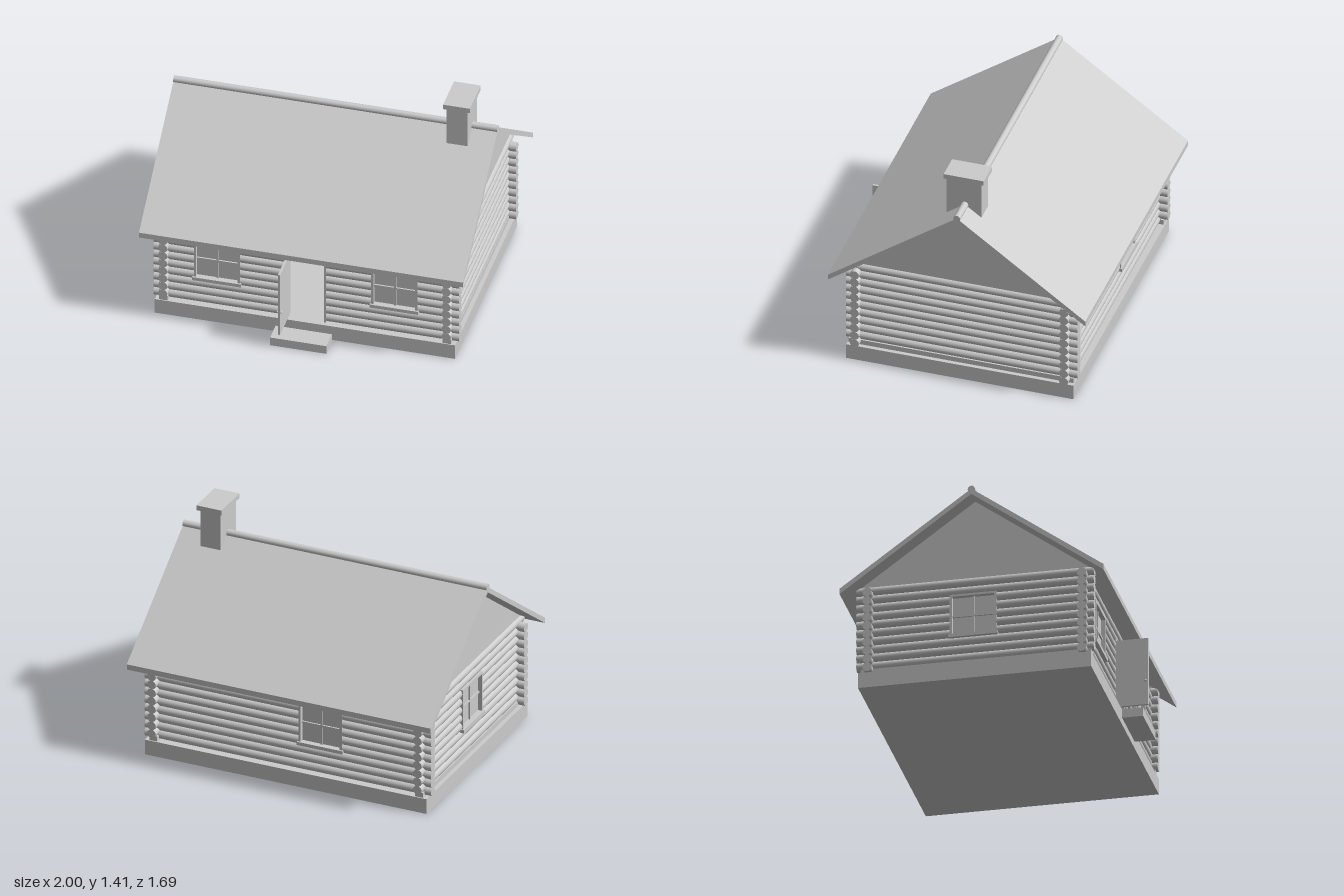
import * as THREE from 'three';

const stone = new THREE.MeshStandardMaterial({ color: 0xcccccc });
stone.name = 'plain light grey';

// Wall lines, log size and roof section
const LOG_R = 0.0285, STEP = 0.0547, ROWS = 10;
const WALL_X = 0.875, FRONT_Z = 0.62, BACK_Z = -0.69, RIDGE_Z = -0.04;

function add(parent, name, geometry, x = 0, y = 0, z = 0) {
  const mesh = new THREE.Mesh(geometry, stone);
  mesh.name = name;
  mesh.position.set(x, y, z);
  parent.add(mesh);
  return mesh;
}

// Box given by its limits on each axis
function block(parent, name, [x0, x1], [y0, y1], [z0, z1]) {
  return add(parent, name, new THREE.BoxGeometry(x1 - x0, y1 - y0, z1 - z0),
    (x0 + x1) / 2, (y0 + y1) / 2, (z0 + z1) / 2);
}

function cylinderAlong(axis, radius, length) {
  const g = new THREE.CylinderGeometry(radius, radius, length, 20);
  return axis === 'x' ? g.rotateZ(Math.PI / 2) : g.rotateX(Math.PI / 2);
}

// Stack of logs along one axis, interrupted by openings { from, to, low, high }
function logWall(parent, name, axis, offset, firstY, start, end, openings) {
  const wall = new THREE.Group();
  wall.name = name;
  for (let i = 0; i < ROWS; i++) {
    const y = firstY + i * STEP;
    let from = start;
    const gaps = openings.filter(o => y > o.low && y < o.high);
    for (const gap of [...gaps, { from: end, to: end }]) {
      const mid = (from + gap.from) / 2;
      const g = cylinderAlong(axis, LOG_R, gap.from - from);
      if (axis === 'x') add(wall, 'log', g, mid, y, offset);
      else add(wall, 'log', g, offset, y, mid);
      from = gap.to;
    }
  }
  parent.add(wall);
}

// Framed window with four panes, facing +z before it is turned
function windowUnit(parent, name, x, y, z, turn) {
  const w = new THREE.Group();
  w.name = name;
  const W = 0.1425, H = 0.137, T = 0.014;
  for (const s of [-1, 1]) {
    block(w, 'windowJamb', s < 0 ? [-W, -W + T] : [W - T, W], [-H, H], [-0.032, 0.032]);
  }
  block(w, 'windowHead', [-W, W], [H - T, H], [-0.032, 0.032]);
  block(w, 'windowSill', [-W - 0.008, W + 0.008], [-H - 0.008, -H + T], [-0.032, 0.042]);
  block(w, 'windowPane', [-W + T, W - T], [-H + T, H - T], [-0.004, 0.004]);
  block(w, 'windowUpright', [-0.006, 0.006], [-H + T, H - T], [-0.012, 0.014]);
  block(w, 'windowCrossbar', [-W + T, W - T], [-0.006, 0.006], [-0.012, 0.014]);
  w.position.set(x, y, z);
  w.rotation.y = turn;
  parent.add(w);
}

// Section drawn in (z, y), extruded along x
function extrudeAlongX(points, x0, x1) {
  const shape = new THREE.Shape(points.map(([z, y]) => new THREE.Vector2(-z, y)));
  const g = new THREE.ExtrudeGeometry(shape, { depth: x1 - x0, bevelEnabled: false });
  return g.rotateY(Math.PI / 2).translate(x0, 0, 0);
}

export function createModel() {
  const cabin = new THREE.Group();
  cabin.name = 'logCabin';

  // Foundation, side sills and front step
  block(cabin, 'foundation', [-0.927, 0.927], [0, 0.098], [-0.748, 0.676]);
  for (const s of [-1, 1]) {
    block(cabin, 'sideSill', [s * WALL_X - 0.026, s * WALL_X + 0.026], [0.09, 0.13], [-0.74, 0.67]);
  }
  block(cabin, 'frontStep', [-0.175, 0.172], [0, 0.056], [0.697, 0.825]);

  // Log walls, the side rows half a log higher so the corners interlock
  const opening = (centre, half, low, high) => ({ from: centre - half, to: centre + half, low, high });
  const firstX = 0.127, firstZ = firstX + STEP / 2;
  logWall(cabin, 'frontWall', 'x', FRONT_Z, firstX, -0.943, 0.943, [
    opening(-0.55, 0.141, 0.27, 0.55), opening(0, 0.116, 0.09, 0.55), opening(0.545, 0.141, 0.27, 0.55),
  ]);
  logWall(cabin, 'backWall', 'x', BACK_Z, firstX, -0.943, 0.943, [opening(-0.215, 0.141, 0.27, 0.55)]);
  logWall(cabin, 'leftWall', 'z', WALL_X, firstZ, -0.765, 0.686, []);
  logWall(cabin, 'rightWall', 'z', -WALL_X, firstZ, -0.765, 0.686, [opening(-0.05, 0.141, 0.29, 0.57)]);

  // Windows
  windowUnit(cabin, 'frontRightWindow', -0.55, 0.413, FRONT_Z, 0);
  windowUnit(cabin, 'frontLeftWindow', 0.545, 0.413, FRONT_Z, 0);
  windowUnit(cabin, 'backWindow', -0.215, 0.413, BACK_Z, Math.PI);
  windowUnit(cabin, 'sideWindow', -WALL_X, 0.428, -0.05, -Math.PI / 2);

  // Door frame and the open door with its knobs
  for (const s of [-1, 1]) {
    block(cabin, 'doorJamb', [s * 0.116 - 0.006, s * 0.116 + 0.006], [0.098, 0.55], [0.592, 0.648]);
  }
  block(cabin, 'doorHead', [-0.122, 0.122], [0.538, 0.55], [0.592, 0.648]);
  block(cabin, 'door', [-0.122, -0.108], [0.1, 0.535], [0.63, 0.845]);
  for (const x of [-0.127, -0.103]) {
    add(cabin, 'doorKnob', new THREE.SphereGeometry(0.008, 12, 8), x, 0.255, 0.829);
  }

  // Gables under the roof slopes
  const gable = [[0.657, 0.672], [RIDGE_Z, 1.172], [-0.737, 0.672]];
  for (const s of [-1, 1]) {
    add(cabin, 'gable', extrudeAlongX(gable, s * WALL_X - 0.012, s * WALL_X + 0.012));
  }

  // Roof with ridge pole
  const roof = [[0.767, 0.595], [0.767, 0.63], [RIDGE_Z, 1.207], [-0.845, 0.63],
    [-0.845, 0.595], [RIDGE_Z, 1.172]];
  add(cabin, 'roof', extrudeAlongX(roof, -1, 1));
  add(cabin, 'ridgePole', cylinderAlong('x', 0.022, 2), 0, 1.204, RIDGE_Z);

  // Chimney
  block(cabin, 'chimney', [0.711, 0.843], [1.09, 1.38], [-0.144, 0.074]);
  block(cabin, 'chimneyCap', [0.695, 0.86], [1.378, 1.41], [-0.164, 0.087]);

  return cabin;
}
